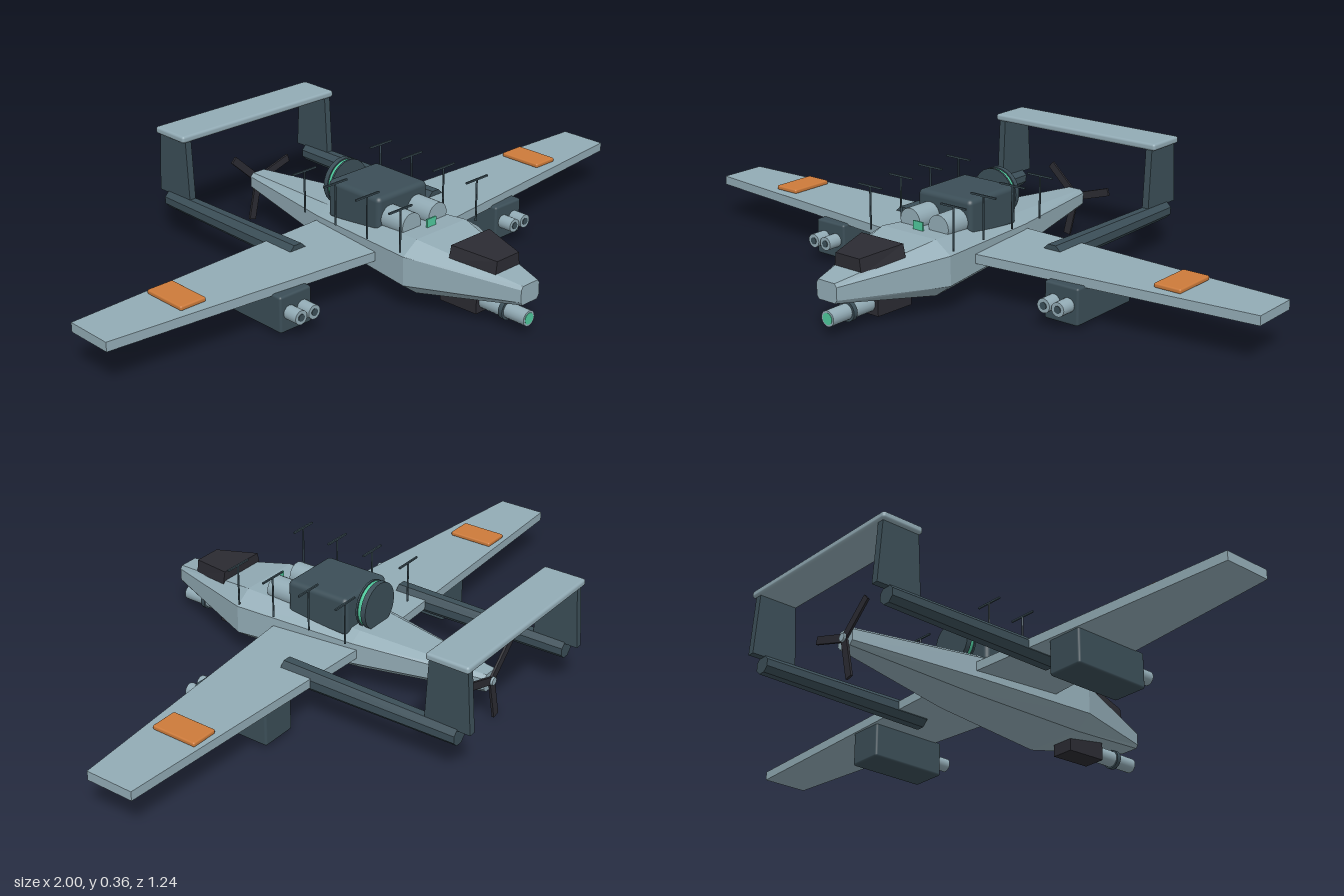
import * as THREE from 'three';
import { RoundedBoxGeometry } from 'three/addons/geometries/RoundedBoxGeometry.js';

function mat(name, color) {
  const m = new THREE.MeshStandardMaterial({ color });
  m.name = name;
  return m;
}

// Flat-sided skin through cross-sections ordered front to back;
// each ring is [x, y] points, counter-clockwise seen from +z.
function loft(sections) {
  const pos = [];
  const rings = sections.map(([z, ring]) => ring.map(([x, y]) => [x, y, z]));
  const tri = (...pts) => pts.forEach((p) => pos.push(...p));
  const n = rings[0].length, last = rings[rings.length - 1];
  for (let s = 0; s < rings.length - 1; s++) {
    for (let i = 0; i < n; i++) {
      const j = (i + 1) % n, f = rings[s], b = rings[s + 1];
      tri(f[i], b[i], b[j]);
      tri(f[i], b[j], f[j]);
    }
  }
  for (let i = 1; i < n - 1; i++) {
    tri(rings[0][0], rings[0][i], rings[0][i + 1]);
    tri(last[0], last[i + 1], last[i]);
  }
  const g = new THREE.BufferGeometry();
  g.setAttribute('position', new THREE.Float32BufferAttribute(pos, 3));
  g.computeVertexNormals();
  return g;
}

// Eight-cornered hull section
const hull = (z, w, flat, top, shoulder, hip, bottom) => [z, [
  [w, hip], [w, shoulder], [flat, top], [-flat, top],
  [-w, shoulder], [-w, hip], [-flat, bottom], [flat, bottom]]];

// Four-cornered section, wide at the bottom by wb and at the top by wt
const slab = (z, wb, wt, bottom, top) => [z, [[wb, bottom], [wt, top], [-wt, top], [-wb, bottom]]];

// Cylinder lying along z
function rod(rFront, rBack, length, sides = 20) {
  return new THREE.CylinderGeometry(rFront, rBack, length, sides).rotateX(Math.PI / 2);
}

function plate(points, depth) {
  const shape = new THREE.Shape(points.map(([a, b]) => new THREE.Vector2(a, b)));
  return new THREE.ExtrudeGeometry(shape, { depth, bevelEnabled: false });
}

export function createModel() {
  const root = new THREE.Group();
  root.name = 'aircraft';
  const light = mat('paleBlueGrey', 0x92abb5);
  const dark = mat('darkSlate', 0x3b4e57);
  const black = mat('nearBlack', 0x2b2b32);
  const orange = mat('orange', 0xcc7a3a);
  const green = mat('glowGreen', 0x4fc89c);

  function add(name, geometry, material, x = 0, y = 0, z = 0, parent = root) {
    const m = new THREE.Mesh(geometry, material);
    m.name = name;
    m.position.set(x, y, z);
    parent.add(m);
    return m;
  }

  // Fuselage and canopy
  add('fuselage', loft([
    hull(0.62, 0.037, 0.03, 0.162, 0.152, 0.115, 0.105),
    hull(0.29, 0.153, 0.1, 0.215, 0.178, 0.09, 0.05),
    hull(-0.1, 0.11, 0.07, 0.19, 0.165, 0.1, 0.068),
    hull(-0.5, 0.033, 0.022, 0.163, 0.153, 0.12, 0.108),
  ]), light);
  add('canopy', loft([
    slab(0.538, 0.05, 0.044, 0.165, 0.212),
    slab(0.4, 0.087, 0.078, 0.185, 0.227),
  ]), black);

  // One-piece tapered wing
  add('wing', plate([[0, 0.18], [-1, 0.077], [-1, -0.075], [0, -0.12], [1, -0.075], [1, 0.077]], 0.028)
    .rotateX(Math.PI / 2), light, 0, 0.148, 0);

  // Tail plane across the two fins
  add('tailplane', new RoundedBoxGeometry(0.612, 0.022, 0.135, 2, 0.008), light, 0, 0.351, -0.547);

  for (const s of [1, -1]) {
    const side = s > 0 ? 'left' : 'right';

    add(side + 'WingPanel', new RoundedBoxGeometry(0.085, 0.014, 0.146, 2, 0.005), orange, s * 0.717, 0.154, 0.001);

    // Tail boom and fin
    const boom = rod(0.035, 0.028, 0.58, 8).rotateZ(Math.PI / 8).toNonIndexed();
    boom.computeVertexNormals();
    add(side + 'Boom', boom, dark, s * 0.283, 0.131, -0.29);
    add(side + 'Fin', plate([[-0.475, 0.154], [-0.62, 0.152], [-0.606, 0.345], [-0.485, 0.345]], 0.022)
      .rotateY(-Math.PI / 2), dark, s * 0.283 + 0.011, 0, 0);

    // Gun pod under the wing with two barrels
    const pod = new THREE.Group();
    pod.name = side + 'Pod';
    pod.position.set(s * 0.437, 0.07, 0);
    root.add(pod);
    add('podBox', new RoundedBoxGeometry(0.114, 0.11, 0.255, 2, 0.007), dark, 0, 0, 0.035, pod);
    for (const b of [-1, 1]) {
      add('podBarrel', rod(0.021, 0.021, 0.06), light, b * 0.024, 0.002, 0.18, pod);
      add('podBore', rod(0.011, 0.011, 0.004, 12), dark, b * 0.024, 0.002, 0.21, pod);
    }

    // Cannon in front of the dorsal housing
    add(side + 'DorsalCannon', rod(0.037, 0.037, 0.11), light, s * 0.053, 0.223, 0.17);

    // Row of T-shaped aerials
    for (const z of [0.28, 0.15, 0.02, -0.11]) {
      add(side + 'AerialMast', new THREE.CylinderGeometry(0.003, 0.003, 0.13, 6), dark, s * 0.155, 0.255, z);
      add(side + 'AerialBar', new THREE.BoxGeometry(0.09, 0.005, 0.005), dark, s * 0.155, 0.319, z);
    }
  }

  // Dorsal housing, rear dish and sight
  add('dorsalHousing', new RoundedBoxGeometry(0.2, 0.12, 0.212, 3, 0.015), dark, 0, 0.23, 0.034);
  add('dish', rod(0.072, 0.072, 0.016, 24), dark, 0, 0.246, -0.111);
  add('dishRing', rod(0.068, 0.068, 0.012, 24), green, 0, 0.246, -0.097);
  add('dishFront', rod(0.072, 0.072, 0.006, 24), dark, 0, 0.246, -0.088);
  add('sight', new THREE.BoxGeometry(0.036, 0.032, 0.005), green, 0, 0.222, 0.25);

  // Chin turret
  add('turretMount', loft([
    slab(0.46, 0.036, 0.036, 0.022, 0.085),
    slab(0.323, 0.036, 0.036, 0.018, 0.07),
  ]), black);
  add('turretSleeve', rod(0.025, 0.025, 0.09), light, 0, 0.055, 0.495);
  add('turretCollar', rod(0.03, 0.03, 0.014), dark, 0, 0.055, 0.541);
  add('turretBarrel', rod(0.023, 0.023, 0.075), light, 0, 0.055, 0.582);
  add('turretLens', rod(0.017, 0.017, 0.004), green, 0, 0.055, 0.619);

  // Three-bladed pusher propeller
  const prop = new THREE.Group();
  prop.name = 'propeller';
  prop.position.set(0, 0.135, -0.503);
  root.add(prop);
  add('hub', rod(0.016, 0.012, 0.02, 12), light, 0, 0, 0, prop);
  for (let i = 0; i < 3; i++) {
    const blade = add('blade', new THREE.BoxGeometry(0.024, 0.13, 0.007).translate(0, 0.067, 0), black, 0, 0, 0, prop);
    blade.rotation.z = THREE.MathUtils.degToRad(167 + i * 120);
  }
  return root;
}
